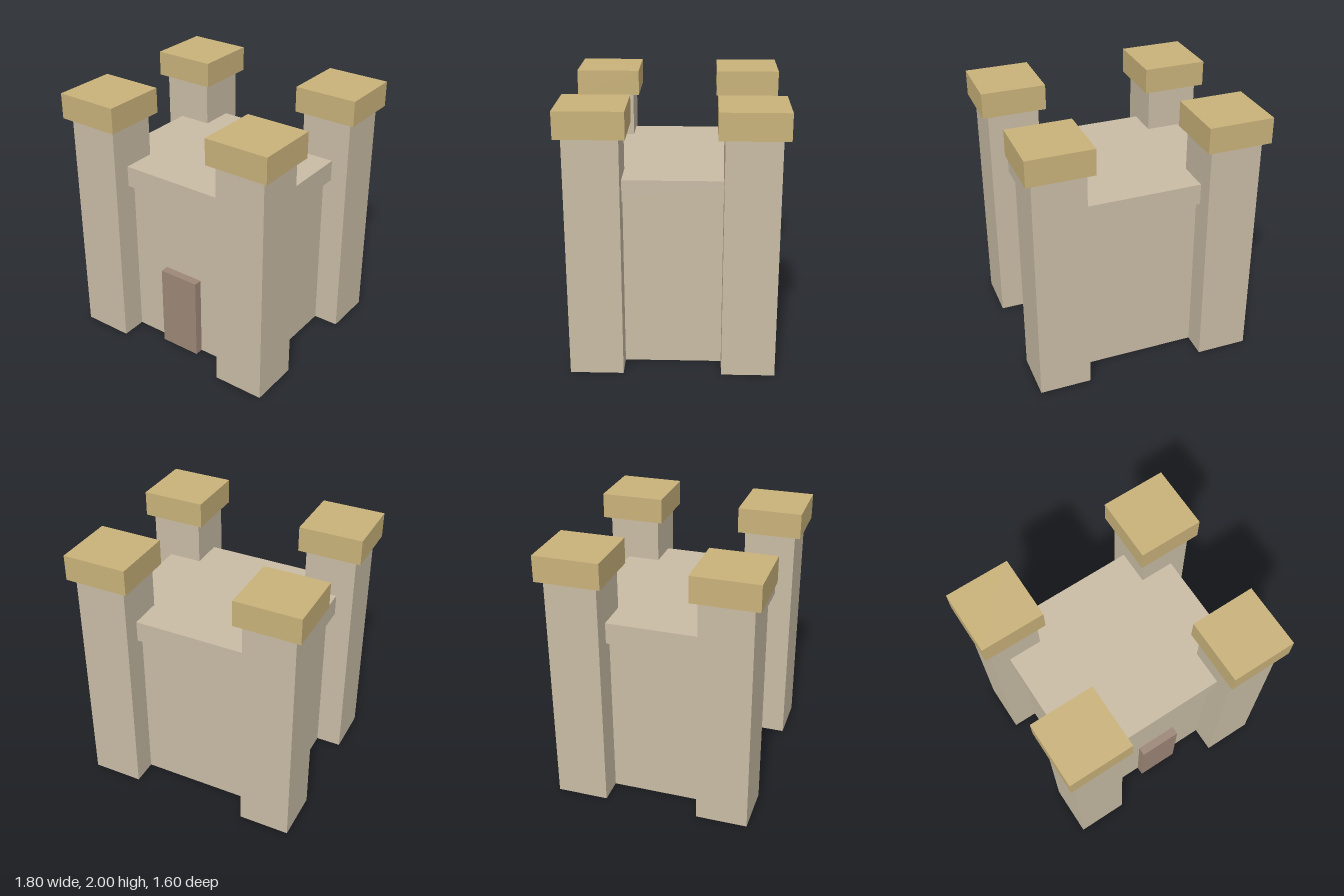
import * as THREE from 'three';

export function createModel() {
  const castle = new THREE.Group();
  castle.name = 'castle';

  const material = (name, color) => {
    const m = new THREE.MeshStandardMaterial({ color });
    m.name = name;
    return m;
  };
  const stone = material('stone', 0xc9bca5);
  const sand = material('sand', 0xc9b27a);
  const wood = material('wood', 0x9d8778);

  // Box standing on height y
  const box = (parent, name, mat, [w, h, d], [x, y, z]) => {
    const mesh = new THREE.Mesh(new THREE.BoxGeometry(w, h, d), mat);
    mesh.name = name;
    mesh.position.set(x, y + h / 2, z);
    parent.add(mesh);
  };

  // Keep with an overhanging roof slab
  box(castle, 'keep', stone, [1.31, 1.3, 1.114], [0, 0, 0]);
  box(castle, 'roofSlab', stone, [1.44, 0.163, 1.24], [0, 1.3, 0]);

  // Door standing proud of the front wall
  box(castle, 'door', wood, [0.326, 0.656, 0.13], [0, 0, 0.557]);

  // Four corner towers, each with a wider cap
  for (const sx of [-1, 1]) {
    for (const sz of [-1, 1]) {
      const tower = new THREE.Group();
      tower.name = `${sz > 0 ? 'front' : 'back'}${sx > 0 ? 'Left' : 'Right'}Tower`;
      tower.position.set(sx * 0.655, 0, sz * 0.557);
      box(tower, 'towerShaft', stone, [0.393, 1.804, 0.393], [0, 0, 0]);
      box(tower, 'towerCap', sand, [0.49, 0.196, 0.49], [0, 1.804, 0]);
      castle.add(tower);
    }
  }

  return castle;
}
